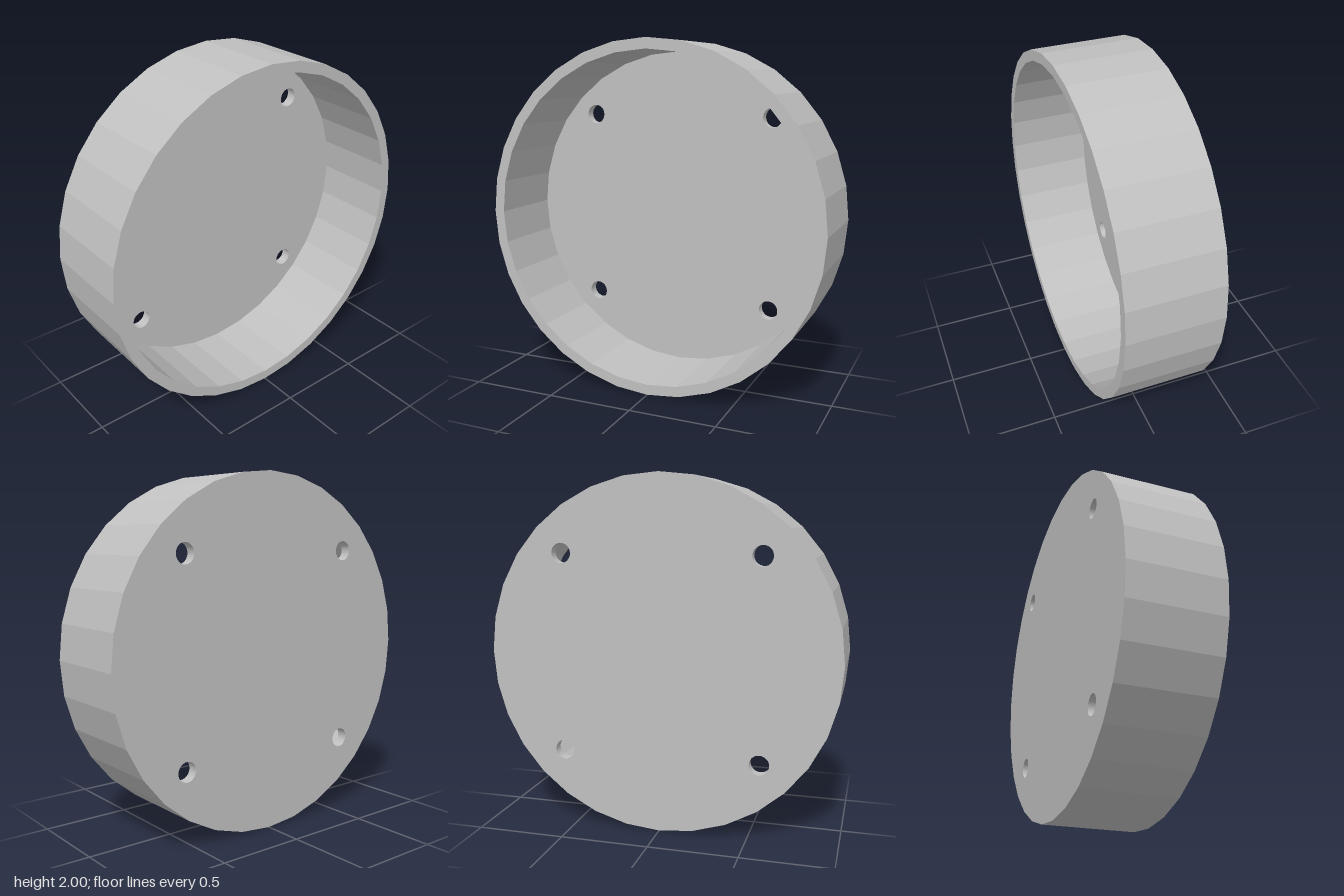
import * as THREE from 'three';

const SIDES = 32;
const OUTER = 1, INNER = 0.94;
const BACK = -0.27, FRONT = 0.27, FLOOR = 0.06;
const HOLE_RADIUS = 0.056, HOLE_OFFSET = 0.565;

// Corner points of a regular polygon
function ring(radius, sides, cx = 0, cy = 0) {
  return Array.from({ length: sides }, (_, i) => {
    const a = (i / sides) * Math.PI * 2;
    return new THREE.Vector2(cx + radius * Math.cos(a), cy + radius * Math.sin(a));
  });
}

// Disc with holes, extruded towards the front from z
function plate(name, holes, z, depth, material) {
  const shape = new THREE.Shape(ring(OUTER, SIDES));
  shape.holes = holes.map((points) => new THREE.Path(points));
  const geometry = new THREE.ExtrudeGeometry(shape, { depth, bevelEnabled: false });
  const mesh = new THREE.Mesh(geometry, material);
  mesh.name = name;
  mesh.position.set(0, 1, z);
  return mesh;
}

export function createModel() {
  const grey = new THREE.MeshStandardMaterial({ color: 0xc0c0c0 });
  grey.name = 'light grey';

  const group = new THREE.Group();
  group.name = 'roundCover';

  // Back floor with four screw holes
  const screwHoles = [];
  for (const sx of [-1, 1])
    for (const sy of [-1, 1])
      screwHoles.push(ring(HOLE_RADIUS, SIDES, sx * HOLE_OFFSET, sy * HOLE_OFFSET));
  group.add(plate('floor', screwHoles, BACK, FLOOR, grey));

  // Thin wall, open to the front
  const wallStart = BACK + FLOOR;
  group.add(plate('wall', [ring(INNER, SIDES)], wallStart, FRONT - wallStart, grey));

  return group;
}
